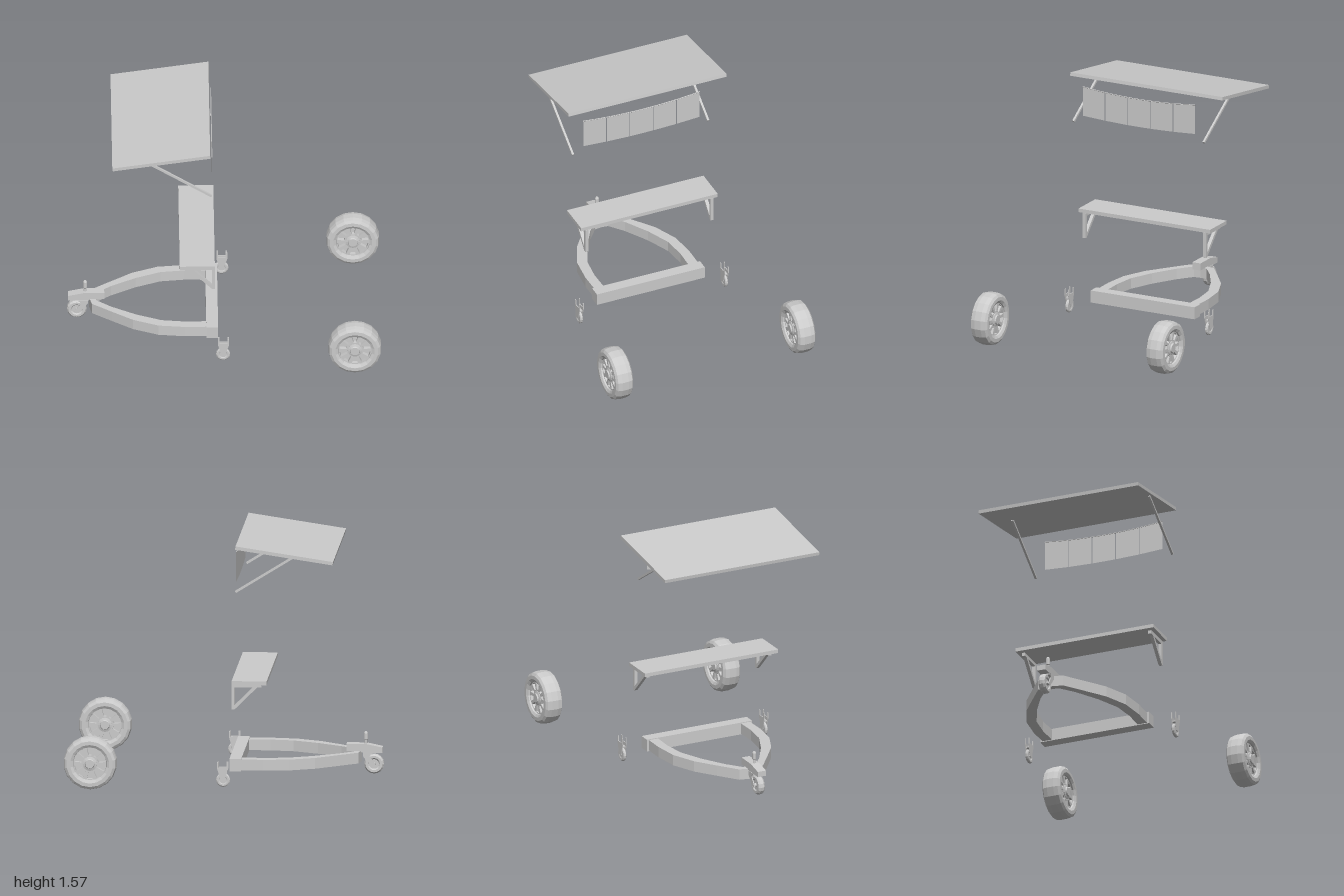
import * as THREE from 'three';

const mat = new THREE.MeshStandardMaterial({ color: 0xcccccc, flatShading: true });
const thin = new THREE.MeshStandardMaterial({ color: 0xcccccc, side: THREE.DoubleSide });

function add(parent, name, geo, x = 0, y = 0, z = 0, material = mat) {
  const m = new THREE.Mesh(geo, material);
  m.name = name;
  m.position.set(x, y, z);
  parent.add(m);
  return m;
}

function box(parent, name, x0, x1, y0, y1, z0, z1) {
  return add(parent, name, new THREE.BoxGeometry(x1 - x0, y1 - y0, z1 - z0),
    (x0 + x1) / 2, (y0 + y1) / 2, (z0 + z1) / 2);
}

const shapeOf = (pts) => new THREE.Shape(pts.map(([x, y]) => new THREE.Vector2(x, y)));

// Side profile in x/y, extruded evenly about z = 0
function slab(shape, depth) {
  return new THREE.ExtrudeGeometry(shape, { depth, bevelEnabled: false, curveSegments: 9 })
    .translate(0, 0, -depth / 2);
}

// Square bar between two points in the x/y plane
function bar(parent, name, [x0, y0], [x1, y1], z, thick, depth) {
  const m = add(parent, name, new THREE.BoxGeometry(Math.hypot(x1 - x0, y1 - y0), thick, depth),
    (x0 + x1) / 2, (y0 + y1) / 2, z);
  m.rotation.z = Math.atan2(y1 - y0, x1 - x0);
  return m;
}

// Disc or wheel turned about the z axis from [radius, offset] pairs
function turned(pts, segments) {
  return new THREE.LatheGeometry(pts.map(([r, w]) => new THREE.Vector2(r, w)), segments)
    .rotateX(Math.PI / 2);
}

function roadWheel() {
  const g = new THREE.Group();
  g.name = 'roadWheel';
  // Tyre with rounded shoulders
  add(g, 'tyre', turned([[0.104, -0.03], [0.108, -0.052], [0.125, -0.061], [0.148, -0.06], [0.164, -0.049],
    [0.17, -0.022], [0.17, 0.022], [0.164, 0.049], [0.148, 0.06], [0.125, 0.061], [0.108, 0.052],
    [0.104, 0.03], [0.104, -0.03]], 18));
  // Rim with ten slots
  const rim = new THREE.Shape().absarc(0, 0, 0.11, 0, Math.PI * 2);
  for (let i = 0; i < 10; i++) {
    const a = (i + 0.5) * Math.PI / 5;
    const p = (r, d) => new THREE.Vector2(r * Math.cos(a + d), r * Math.sin(a + d));
    rim.holes.push(new THREE.Path([p(0.055, -0.17), p(0.1, -0.19), p(0.1, 0.19), p(0.055, 0.17)]));
  }
  add(g, 'rim', slab(rim, 0.084));
  add(g, 'rimBacking', new THREE.CylinderGeometry(0.105, 0.105, 0.03, 18).rotateX(Math.PI / 2));
  add(g, 'hub', turned([[0, -0.058], [0.028, -0.058], [0.032, -0.05], [0.046, -0.046], [0.046, 0.046],
    [0.032, 0.05], [0.028, 0.058], [0, 0.058]], 16));
  return g;
}

function casterWheel(parent, x, y, r, w) {
  add(parent, 'casterWheel', turned([[0, -w * 0.7], [r * 0.5, -w * 0.7], [r * 0.62, -w], [r * 0.85, -w],
    [r, -w * 0.5], [r, w * 0.5], [r * 0.85, w], [r * 0.62, w], [r * 0.5, w * 0.7], [0, w * 0.7]], 16), x, y, 0);
  add(parent, 'axle', new THREE.CylinderGeometry(r * 0.2, r * 0.2, w * 2.8, 10).rotateX(Math.PI / 2), x, y, 0);
}

export function createModel() {
  const root = new THREE.Group();
  root.name = 'cart';

  // Sloping roof and its two props
  bar(root, 'roof', [-0.713, 1.473], [-0.091, 1.565], 0, 0.022, 1.1);
  for (const z of [0.523, -0.418]) bar(root, 'roofProp', [-0.47, 1.497], [-0.083, 1.255], z, 0.014, 0.014);

  // Sagging line with five hanging flags
  const mid = 0.0475, half = 0.4075, flagX = -0.08;
  const sag = (z) => ((z - mid) / half) ** 2;
  const cord = [];
  for (let i = 0; i <= 10; i++) {
    const z = mid - half + i * half / 5;
    cord.push(new THREE.Vector3(flagX, 1.475 + 0.024 * sag(z), z));
  }
  add(root, 'flagLine', new THREE.TubeGeometry(new THREE.CatmullRomCurve3(cord), 20, 0.003, 5));
  for (let i = 0; i < 5; i++) {
    const a = mid - half + i * half * 0.4 + 0.003;
    const b = a + half * 0.4 - 0.006;
    const flag = shapeOf([[a, 1.29 + 0.015 * sag(a)], [b, 1.29 + 0.015 * sag(b)],
      [b, 1.475 + 0.024 * sag(b)], [a, 1.475 + 0.024 * sag(a)]]);
    add(root, 'flag', new THREE.ShapeGeometry(flag).rotateY(-Math.PI / 2), flagX, 0, 0, thin);
  }

  // Shelf on two triangular brackets
  box(root, 'shelf', -0.285, -0.062, 0.664, 0.688, -0.475, 0.475);
  for (const z of [0.435, -0.435]) {
    const bracket = shapeOf([[-0.25, 0.664], [-0.25, 0.642], [-0.222, 0.642], [-0.078, 0.498],
      [-0.06, 0.498], [-0.06, 0.664]]);
    bracket.holes.push(new THREE.Path([[-0.195, 0.642], [-0.08, 0.642], [-0.08, 0.527]]
      .map(([x, y]) => new THREE.Vector2(x, y))));
    add(root, 'shelfBracket', slab(bracket, 0.022), 0, 0, z);
  }

  // Chassis: cross beam and two curved arms
  box(root, 'crossBeam', -0.115, -0.04, 0.083, 0.163, -0.375, 0.375);
  const arm = [[-0.1, 0.36], [-0.25, 0.362], [-0.42, 0.343], [-0.58, 0.275], [-0.716, 0.177], [-0.84, 0.085],
    [-0.858, 0], [-0.815, 0], [-0.81, 0.045], [-0.716, 0.12], [-0.56, 0.212], [-0.4, 0.28], [-0.25, 0.298],
    [-0.1, 0.295]];
  for (const s of [1, -1]) {
    const geo = new THREE.ExtrudeGeometry(shapeOf(arm.map(([x, z]) => [x, z * s])),
      { depth: 0.07, bevelEnabled: false }).rotateX(Math.PI / 2);
    add(root, 'chassisArm', geo, 0, 0.158, 0);
  }

  // Nose block with steering peg and trailing caster
  const nose = new THREE.Group();
  nose.name = 'noseCaster';
  root.add(nose);
  add(nose, 'noseBlock', slab(shapeOf([[-0.99, 0.147], [-0.86, 0.147], [-0.85, 0.156], [-0.76, 0.156],
    [-0.76, 0.203], [-0.89, 0.203], [-0.99, 0.182]]), 0.058));
  add(nose, 'steeringPeg', turned([[0.009, 0], [0.009, 0.025], [0.013, 0.03], [0.013, 0.07], [0.008, 0.08], [0, 0.081]], 10)
    .rotateX(-Math.PI / 2), -0.882, 0.2, 0);
  casterWheel(nose, -0.935, 0.073, 0.063, 0.022);
  for (const z of [0.03, -0.03]) {
    add(nose, 'forkPlate', slab(shapeOf([[-0.95, 0.065], [-0.935, 0.057], [-0.92, 0.065], [-0.865, 0.125],
      [-0.865, 0.15], [-0.925, 0.15], [-0.908, 0.125]]), 0.006), 0, 0, z);
  }
  box(nose, 'forkCrown', -0.925, -0.865, 0.138, 0.152, -0.03, 0.03);

  // Rear casters with pronged forks
  for (const z of [0.512, -0.497]) {
    const caster = new THREE.Group();
    caster.name = 'rearCaster';
    caster.position.z = z;
    root.add(caster);
    casterWheel(caster, -0.01, 0.052, 0.045, 0.01);
    for (const s of [0.013, -0.013]) {
      add(caster, 'forkPlate', slab(shapeOf([[-0.02, 0.045], [0, 0.045], [0.018, 0.095], [0.027, 0.125],
        [0.027, 0.168], [0.017, 0.168], [0.017, 0.135], [-0.032, 0.135], [-0.032, 0.168], [-0.042, 0.168],
        [-0.042, 0.125], [-0.034, 0.095]]), 0.005), 0, 0, s);
    }
    box(caster, 'forkCrown', -0.034, 0.018, 0.103, 0.112, -0.013, 0.013);
  }

  // Pair of road wheels
  for (const z of [0.634, -0.634]) {
    const wheel = roadWheel();
    wheel.position.set(0.826, 0.179, z);
    root.add(wheel);
  }
  return root;
}
